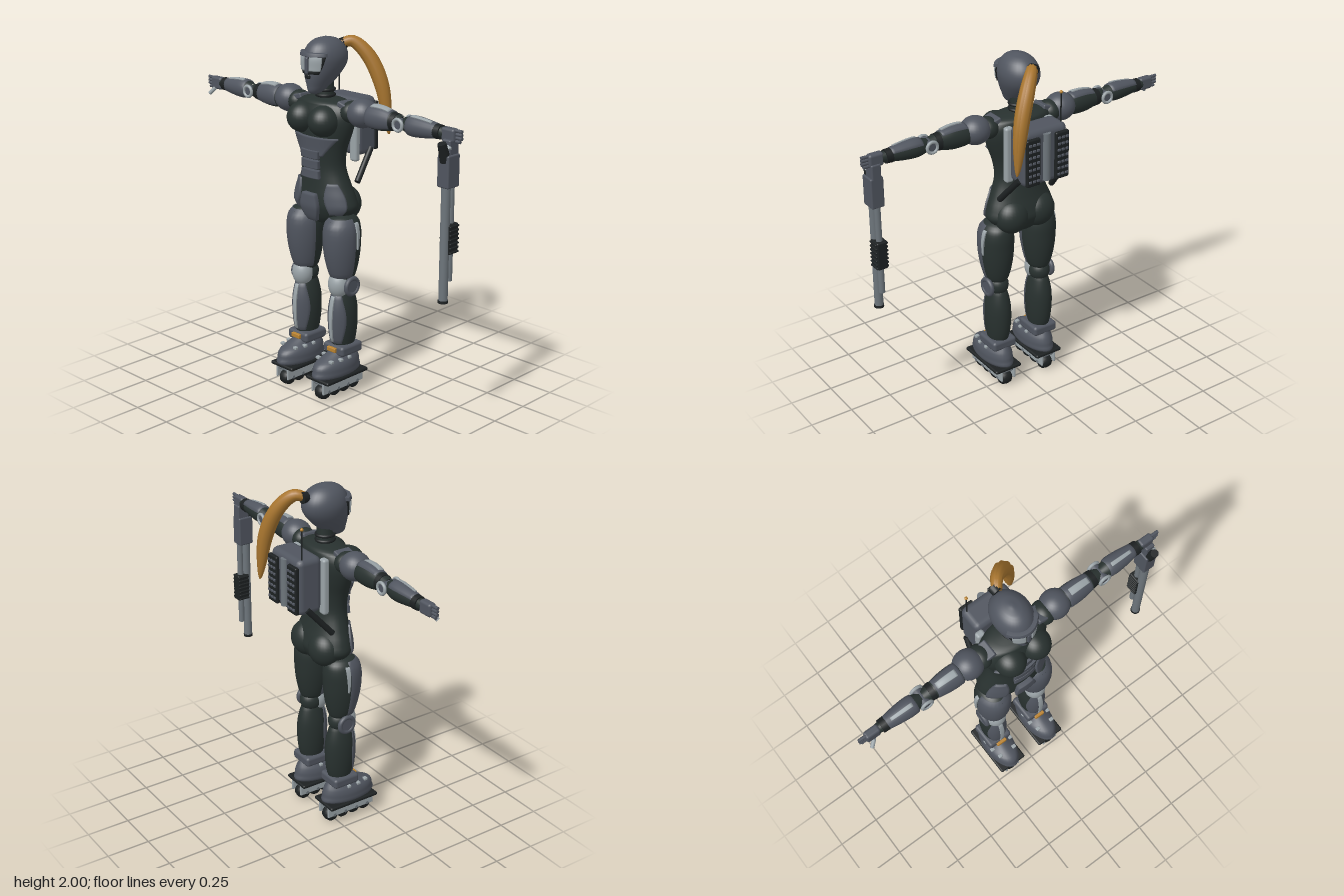
import * as THREE from 'three';
import { mergeVertices } from 'three/addons/utils/BufferGeometryUtils.js';
import { RoundedBoxGeometry } from 'three/addons/geometries/RoundedBoxGeometry.js';

const mat = (name, color) => Object.assign(new THREE.MeshStandardMaterial({ color }), { name });
const armour = mat('slate armour', 0x50555f), suit = mat('dark suit', 0x28312f), black = mat('black rubber', 0x1d2122);
const light = mat('light metal', 0x9aa3a7), steel = mat('gun steel', 0x6d757b);
const gold = mat('golden hair', 0xa9762f), orange = mat('orange buckle', 0xb9822f);

// Smooth cross-section [rx, cz, rz, cx] at height y, from rows [y, rx, cz, rz, cx]
function sectionAt(rows, y) {
  let i = 0;
  while (i < rows.length - 2 && y > rows[i + 1][0]) i++;
  const a = rows[i], b = rows[i + 1], h = b[0] - a[0], t = (y - a[0]) / h;
  const slope = (j, k) => {
    const p = rows[Math.max(j - 1, 0)], q = rows[Math.min(j + 1, rows.length - 1)];
    return ((q[k] ?? 0) - (p[k] ?? 0)) / (q[0] - p[0]) * h;
  };
  return [1, 2, 3, 4].map(k => {
    const A = a[k] ?? 0, B = b[k] ?? 0, m = slope(i, k), n = slope(i + 1, k), t2 = t * t, t3 = t2 * t;
    return (2 * t3 - 3 * t2 + 1) * A + (t3 - 2 * t2 + t) * m + (3 * t2 - 2 * t3) * B + (t3 - t2) * n;
  });
}

// Skin over rings of points; point(i, j) runs upwards and then round from front to +x
function skin(nr, nc, point) {
  const pos = [], idx = [];
  for (let i = 0; i <= nr; i++) for (let j = 0; j <= nc; j++) pos.push(...point(i, j));
  for (let i = 0; i < nr; i++) for (let j = 0; j < nc; j++) {
    const a = i * (nc + 1) + j, d = a + nc + 1;
    idx.push(a, a + 1, d + 1, a, d + 1, d);
  }
  let g = new THREE.BufferGeometry();
  g.setAttribute('position', new THREE.Float32BufferAttribute(pos, 3));
  g.setIndex(idx);
  g = mergeVertices(g, 1e-5);
  g.computeVertexNormals();
  return g;
}
const around = (s, y, a, off = 0) => [s[3] + (s[0] + off) * Math.sin(a), y, s[1] + (s[2] + off) * Math.cos(a)];

// Closed body through the rows
function body(rows, n = 32, k = 4) {
  return skin((rows.length - 1) * k, n, (i, j) => {
    const q = Math.min(Math.floor(i / k), rows.length - 2), f = i / k - q;
    const y = rows[q][0] + (rows[q + 1][0] - rows[q][0]) * f;
    const s = sectionAt(rows, y);
    s[0] = Math.max(s[0], 0); s[2] = Math.max(s[2], 0);
    return around(s, y, (j % n) / n * Math.PI * 2);
  });
}
// Raised plate on a body, its edges tucked below the surface; w(t) shapes its width
function plate(rows, y0, y1, ac, aw, off, w = () => 1) {
  const nr = 14, nc = 14;
  return skin(nr, nc, (i, j) => {
    const u = Math.min(Math.max((i - 1) / (nr - 2), 0), 1), v = Math.min(Math.max((j - 1) / (nc - 2), 0), 1);
    const edge = i === 0 || j === 0 || i === nr || j === nc;
    const y = y0 + (y1 - y0) * u;
    return around(sectionAt(rows, y), y, ac + aw * w(u) * (v * 2 - 1), edge ? -0.004 : off);
  });
}

function add(parent, name, geo, m, p = [0, 0, 0], r = [0, 0, 0], s = [1, 1, 1]) {
  const mesh = new THREE.Mesh(geo, m);
  mesh.name = name;
  mesh.position.set(...p); mesh.rotation.set(...r); mesh.scale.set(...s);
  parent.add(mesh);
  return mesh;
}
const box = (x, y, z, r = 0.008) => new RoundedBoxGeometry(x, y, z, 2, r);
const cyl = (a, b, h, n = 20) => new THREE.CylinderGeometry(a, b, h, n);
const ball = new THREE.SphereGeometry(1, 28, 18);
function rod(parent, name, from, to, r, m) {
  const a = new THREE.Vector3(...from), b = new THREE.Vector3(...to), d = b.clone().sub(a);
  const mesh = add(parent, name, cyl(r, r, d.length(), 12), m, a.clone().add(b).multiplyScalar(0.5).toArray());
  mesh.quaternion.setFromUnitVectors(new THREE.Vector3(0, 1, 0), d.normalize());
}
function group(parent, name) {
  const g = new THREE.Group();
  g.name = name; parent.add(g);
  return g;
}

function buildHead(root) {
  const g = group(root, 'head');
  const rows = [[1.695, 0, .11, 0], [1.71, .028, .105, .045], [1.75, .053, .08, .082], [1.8, .08, .056, .112], [1.85, .099, .037, .13],
    [1.9, .104, .032, .133], [1.95, .087, .034, .112], [1.985, .05, .035, .068], [2, 0, .035, 0]];
  add(g, 'skull', body(rows), armour);
  add(g, 'visorFrame', plate(rows, 1.815, 1.925, 0, 0.95, 0.008, t => .75 + .25 * t), black);
  for (const s of [-1, 1]) add(g, 'visorLens', plate(rows, 1.832, 1.908, s * 0.45, 0.29, 0.014), light);
  add(g, 'browRidge', plate(rows, 1.908, 1.928, 0, 0.95, 0.02), armour);
  add(g, 'noseGuard', box(.024, .09, .03), armour, [0, 1.86, .17]);
  add(g, 'mouthGuard', box(.035, .025, .02), black, [0, 1.8, .165]);
  add(g, 'neck', cyl(.045, .05, .12), suit, [0, 1.7, .035]);
  for (const y of [1.685, 1.715]) add(g, 'collarRing', new THREE.TorusGeometry(.048, .009, 8, 24), black, [0, y, .035], [Math.PI / 2, 0, 0]);
  // Ponytail: a tube with tapered radius and ridged strands
  const curve = new THREE.CatmullRomCurve3([[0, 1.945, -.085], [.035, 1.955, -.135], [.1, 1.88, -.19], [.165, 1.72, -.23], [.205, 1.45, -.25]]
    .map(p => new THREE.Vector3(...p)));
  const n = 48, hair = new THREE.TubeGeometry(curve, n, 1, 20), pos = hair.attributes.position, v = new THREE.Vector3();
  for (let i = 0; i <= n; i++) {
    const t = i / n, c = curve.getPointAt(t), r = .004 + .036 * Math.pow(Math.sin(Math.PI * Math.min(.12 + t * .88, 1)), .65);
    for (let j = 0; j <= 20; j++) {
      const k = i * 21 + j;
      v.fromBufferAttribute(pos, k).sub(c).multiplyScalar(r * (j % 2 ? 1.08 : .94)).add(c);
      pos.setXYZ(k, v.x, v.y, v.z);
    }
  }
  hair.computeVertexNormals();
  add(g, 'ponytail', hair, gold);
  add(g, 'hairTie', cyl(.027, .032, .035), black, [0, 1.945, -.095], [Math.PI / 2, 0, 0]);
}

function buildTorso(root) {
  const g = group(root, 'torso');
  const rows = [[.96, 0, .03, 0], [.985, .1, .03, .07], [1.07, .205, .025, .12], [1.13, .2, .03, .118], [1.2, .172, .037, .105], [1.3, .14, .045, .092],
    [1.4, .152, .048, .095], [1.5, .188, .045, .108], [1.58, .205, .04, .112], [1.64, .185, .035, .1], [1.665, .13, .035, .08], [1.68, 0, .035, 0]];
  add(g, 'suitBody', body(rows, 40), suit);
  add(g, 'ribPlate', plate(rows, 1.37, 1.475, 0, 1.05, .014, t => .5 + .5 * t), armour);
  for (let i = 0; i < 3; i++) add(g, 'abdomenPlate', plate(rows, 1.245 + i * .055, 1.29 + i * .055, 0, .4, .026), armour);
  add(g, 'groinPlate', plate(rows, 1.0, 1.16, 0, .29, .026, t => .45 + .55 * Math.sin(Math.PI * (.15 + .65 * t))), armour);
  for (const s of [-1, 1]) {
    add(g, 'breast', ball, suit, [s * .08, 1.565, .125], [0, 0, 0], [.085, .085, .093]);
    add(g, 'buttock', ball, suit, [s * .085, 1.085, -.025], [0, 0, 0], [.1, .1, .088]);
    add(g, 'hipPlate', plate(rows, 1.05, 1.22, s * .85, .38, .01, t => .4 + .6 * Math.sin(Math.PI * (.1 + .8 * t))), armour);
    add(g, 'collarPlate', box(.06, .03, .1), armour, [s * .165, 1.655, .04], [0, 0, -s * .3]);
  }
}

function buildArm(root, s) {
  const g = group(root, s > 0 ? 'leftArm' : 'rightArm'), turn = [0, 0, -s * Math.PI / 2], top = -s * Math.PI / 2;
  // Sections run outward along the arm
  const limb = group(g, 'limb');
  limb.position.set(0, 1.62, .037); limb.rotation.set(...turn);
  const upper = [[.3, .05, 0, .05], [.36, .062, 0, .058], [.43, .062, 0, .055], [.5, .048, 0, .045], [.56, .036, 0, .036]];
  const lower = [[.57, .034, 0, .034], [.63, .05, 0, .048], [.7, .047, 0, .045], [.78, .036, 0, .034], [.84, .026, 0, .026]];
  add(limb, 'upperArm', body(upper), suit);
  add(limb, 'upperArmPlate', plate(upper, .34, .49, top * .5, 1.55, .005), armour);
  add(limb, 'upperArmTrim', plate(upper, .36, .48, top * .85, .3, .01), light);
  add(limb, 'forearm', body(lower), suit);
  add(limb, 'forearmPlate', plate(lower, .61, .785, top * .5, 1.9, .005), armour);
  add(limb, 'forearmTrim', plate(lower, .63, .76, top * .8, .2, .009), light);
  add(limb, 'wristCuff', cyl(.037, .039, .035), black, [0, .8, 0]);
  add(limb, 'armBand', cyl(.046, .049, .03), black, [0, .512, 0]);
  add(g, 'shoulder', ball, armour, [s * .275, 1.625, .035], [0, 0, 0], [.085, .078, .083]);
  add(g, 'shoulderJoint', ball, suit, [s * .2, 1.62, .035], [0, 0, 0], [.06, .06, .07]);
  add(g, 'elbowHub', cyl(.03, .03, .1), armour, [s * .565, 1.62, .037], [Math.PI / 2, 0, 0]);
  for (const z of [-.012, .086]) add(g, 'elbowRing', new THREE.TorusGeometry(.03, .009, 8, 24), light, [s * .565, 1.62, z]);
  add(g, 'palm', box(.085, .072, .045, .014), armour, [s * .87, 1.618, .04]);
  for (let i = 0; i < 4; i++) {
    const y = 1.59 + i * .018;
    rod(g, 'finger', [s * .89, y, .04], [s * (i === 0 ? .94 : .95), y, .04], .009, armour);
  }
  rod(g, 'thumb', [s * .875, 1.59, .06], [s * .905, 1.555, .08], .011, light);
}

function buildLeg(root, s) {
  const g = group(root, s > 0 ? 'leftLeg' : 'rightLeg'), X = s * .142;
  const thigh = [[.66, .04, .045, .05], [.7, .066, .045, .075], [.8, .089, .048, .1], [.9, .098, .05, .11], [.98, .092, .048, .107], [1.03, .065, .045, .08], [1.06, 0, .04, 0]];
  const shin = [[.26, .05, .04, .058], [.33, .063, .04, .08], [.42, .071, .04, .09], [.51, .069, .04, .088], [.59, .054, .04, .07], [.63, .04, .04, .05]];
  const limb = group(g, 'limb');
  limb.position.x = X;
  add(limb, 'thigh', body(thigh), suit);
  add(limb, 'thighPlate', plate(thigh, .695, 1.03, s * .1, 1.5, .004), armour);
  add(limb, 'thighTrim', plate(thigh, .86, 1.01, s * 1.75, .12, .009, t => .3 + .7 * t), light);
  add(limb, 'shin', body(shin), suit);
  add(limb, 'shinPlate', plate(shin, .31, .59, 0, 1.1, .005, t => .7 + .3 * Math.sin(Math.PI * t)), armour);
  add(limb, 'shinStrip', plate(shin, .32, .585, 0, .2, .013, t => .5 + .5 * t), light);
  add(limb, 'kneeJoint', ball, suit, [0, .645, .035], [0, 0, 0], [.06, .065, .065]);
  add(limb, 'kneePad', ball, light, [0, .648, .075], [0, 0, 0], [.061, .078, .06]);
  add(limb, 'kneeHub', cyl(.042, .042, .05), armour, [s * .05, .642, .04], [0, 0, Math.PI / 2]);
  add(limb, 'kneeRing', new THREE.TorusGeometry(.044, .014, 10, 28), armour, [s * .066, .642, .04], [0, Math.PI / 2, 0]);
  // Skate boot
  const boot = group(g, 'skate');
  boot.position.x = X;
  add(boot, 'ankleCuff', box(.155, .06, .165, .018), armour, [0, .27, .042]);
  add(boot, 'buckle', box(.065, .026, .03, .005), orange, [0, .275, .125]);
  add(boot, 'bootShell', body([[.115, 0, .095, 0], [.125, .07, .095, .148], [.17, .085, .095, .165], [.21, .079, .09, .152], [.24, .058, .065, .112], [.27, .045, .045, .07]]), armour);
  for (const e of [-1, 1]) for (const z of [.06, .125, .185])
    add(boot, 'bootClip', box(.026, .016, .022, .004), light, [e * (z > .15 ? .05 : .064), .228, z]);
  add(boot, 'solePlate', box(.175, .022, .325, .01), black, [0, .121, .088]);
  for (const e of [-1, 1]) add(boot, 'wheelFrame', box(.013, .07, .315, .005), light, [e * .043, .08, .088]);
  add(boot, 'frameBridge', box(.08, .02, .3), steel, [0, .102, .088]);
  for (let i = 0; i < 4; i++) {
    const z = -.025 + i * .0755;
    add(boot, 'wheel', new RoundedWheel(), black, [0, .043, z], [0, 0, Math.PI / 2]);
    add(boot, 'axle', cyl(.01, .01, .105, 10), steel, [0, .055, z], [0, 0, Math.PI / 2]);
  }
}
// Wheel with a rounded tread
class RoundedWheel extends THREE.LatheGeometry {
  constructor() {
    super([[0, -.034], [.03, -.034], [.039, -.024], [.043, 0], [.039, .024], [.03, .034], [0, .034]].map(p => new THREE.Vector2(...p)), 24);
  }
}

function buildPack(root) {
  const g = group(root, 'backpack');
  add(g, 'packBody', box(.28, .32, .15, .035), armour, [0, 1.5, -.15]);
  for (const s of [-1, 1]) {
    add(g, 'ventPanel', box(.085, .27, .025), black, [s * .092, 1.49, -.231]);
    for (let r = 0; r < 7; r++) for (let c = -1; c < 2; c++)
      add(g, 'ventStud', box(.018, .014, .01, .003), armour, [s * .092 + c * .025, 1.385 + r * .035, -.245]);
    add(g, 'packRail', box(.05, .32, .04, .015), light, [s * .13, 1.48, -.06]);
    rod(g, 'packStrut', [s * .14, 1.375, -.175], [s * .172, 1.215, -.035], .017, black);
  }
  add(g, 'packTube', cyl(.023, .023, .27), steel, [0, 1.5, -.222]);
  rod(g, 'antenna', [-.115, 1.63, -.19], [-.115, 1.82, -.19], .004, black);
  add(g, 'antennaTip', ball, orange, [-.115, 1.825, -.19], [0, 0, 0], [.009, .009, .009]);
}

function buildGun(root) {
  const g = group(root, 'longGun');
  g.position.x = .88;
  add(g, 'receiver', box(.075, .17, .09), armour, [0, 1.44, .055]);
  add(g, 'gunStock', box(.055, .1, .07), armour, [0, 1.55, .045]);
  add(g, 'pistolGrip', cyl(.022, .03, .1), black, [0, 1.54, .095], [.35, 0, 0]);
  add(g, 'barrel', cyl(.024, .024, .63), steel, [0, 1.055, .07]);
  add(g, 'muzzle', cyl(.027, .027, .014), black, [0, .747, .07]);
  add(g, 'magazineTube', cyl(.017, .017, .52), steel, [0, 1.11, .028]);
  add(g, 'pumpGrip', box(.058, .16, .075), black, [0, 1.08, .033]);
  for (let i = 0; i < 7; i++) add(g, 'pumpRib', box(.074, .011, .068, .004), black, [0, 1.011 + i * .023, .033]);
}

export function createModel() {
  const root = new THREE.Group();
  root.name = 'armouredSkater';
  buildHead(root);
  buildTorso(root);
  for (const s of [-1, 1]) { buildArm(root, s); buildLeg(root, s); }
  buildPack(root);
  buildGun(root);
  return root;
}
